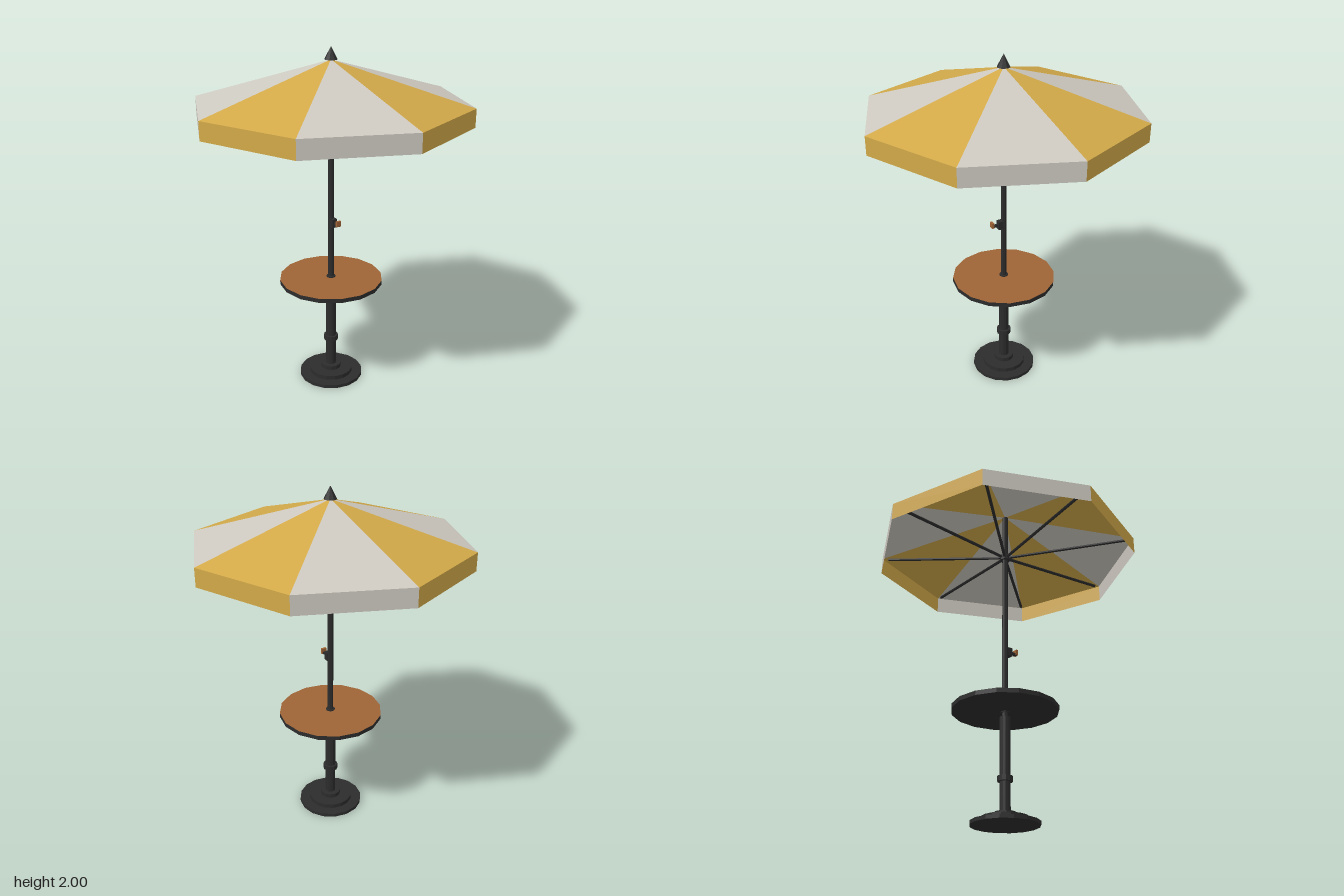
import * as THREE from 'three';

export function createModel() {
  const root = new THREE.Group();
  root.name = 'parasolTable';

  const material = (name, color, side = THREE.FrontSide) => {
    const m = new THREE.MeshStandardMaterial({ color, flatShading: true, side });
    m.name = name;
    return m;
  };
  const metal = material('dark metal', 0x2c2c2c);
  const wood = material('warm wood', 0x9e6436);
  const yellow = material('yellow cloth', 0xd2a949, THREE.DoubleSide);
  const white = material('off-white cloth', 0xcdc9c0, THREE.DoubleSide);

  const add = (name, geometry, mat, parent = root) => {
    const mesh = new THREE.Mesh(geometry, mat);
    mesh.name = name;
    parent.add(mesh);
    return mesh;
  };
  // Upright cylinder between two heights
  const post = (name, r, y0, y1, sides, mat = metal) => {
    const mesh = add(name, new THREE.CylinderGeometry(r, r, y1 - y0, sides), mat);
    mesh.position.y = (y0 + y1) / 2;
    return mesh;
  };
  const box = (name, w, h, d, y, z, mat, parent) =>
    add(name, new THREE.BoxGeometry(w, h, d), mat, parent).position.set(0, y, z);

  // Stepped foot and stand
  post('basePlate', 0.19, 0, 0.02, 16);
  post('baseStep', 0.13, 0.02, 0.045, 16);
  post('baseCollar', 0.06, 0.045, 0.07, 12);
  post('standTube', 0.03, 0.07, 0.6, 12);
  post('standClamp', 0.043, 0.235, 0.265, 12);
  post('pole', 0.017, 0.6, 1.925, 8);

  // Table: dark rim and underside, wooden top face
  post('tableTop', 0.303, 0.63, 0.655, 16, [metal, wood, metal]);
  post('tableCollar', 0.026, 0.625, 0.662, 12);

  // Crank on the front of the pole
  const crank = new THREE.Group();
  crank.name = 'crank';
  root.add(crank);
  box('crankHousing', 0.032, 0.05, 0.03, 1.003, 0.025, metal, crank);
  box('crankArm', 0.014, 0.014, 0.045, 1.003, 0.06, metal, crank);
  box('crankHandle', 0.03, 0.032, 0.014, 1.013, 0.076, wood, crank);

  // Canopy: eight sloping panels, each with a hanging valance
  const canopy = new THREE.Group();
  canopy.name = 'canopy';
  root.add(canopy);
  const R = 0.78, APEX = 1.93, EAVE = 1.7, HEM = 1.597;
  const rim = (i, y) => {
    const a = (i * Math.PI) / 4;
    return [R * Math.cos(a), y, R * Math.sin(a)];
  };
  const faces = (...points) => {
    const g = new THREE.BufferGeometry();
    g.setAttribute('position', new THREE.Float32BufferAttribute(points.flat(), 3));
    g.computeVertexNormals();
    return g;
  };
  for (let i = 0; i < 8; i++) {
    const cloth = i % 2 ? yellow : white;
    const t0 = rim(i, EAVE), t1 = rim(i + 1, EAVE);
    const b0 = rim(i, HEM), b1 = rim(i + 1, HEM);
    add('canopyPanel', faces([0, APEX, 0], t1, t0), cloth, canopy);
    add('valance', faces(t1, b1, b0, t1, b0, t0), cloth, canopy);
  }

  // Ribs from the hub out to the canopy corners
  post('ribHub', 0.03, 1.615, 1.65, 8);
  for (let i = 0; i < 8; i++) {
    const a = (i * Math.PI) / 4;
    const start = new THREE.Vector3(0, 1.633, 0);
    const end = new THREE.Vector3(0.74 * Math.cos(a), 1.69, 0.74 * Math.sin(a));
    const path = new THREE.LineCurve3(start, end);
    add('rib', new THREE.TubeGeometry(path, 1, 0.009, 6), metal, canopy);
  }

  // Pointed finial
  add('finial', new THREE.ConeGeometry(0.037, 0.07, 8), metal).position.y = 1.965;

  return root;
}
